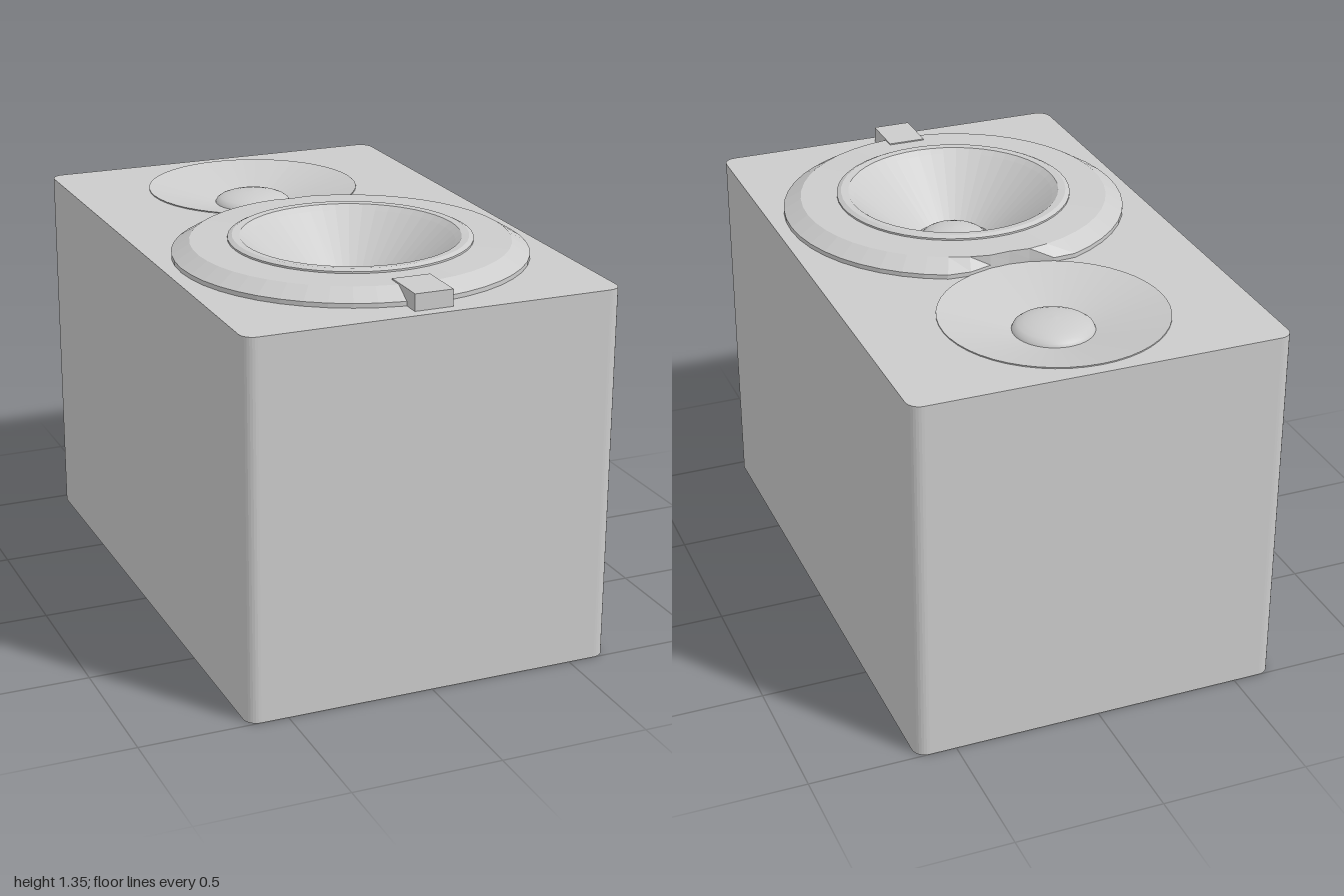
import * as THREE from 'three';

const SEG = 48, W = 0.637, TOP = 1.28;
const WOOFER = { z: 0.315, hole: 0.35 }, TWEETER = { z: -0.58, r: 0.375 };

const material = new THREE.MeshStandardMaterial({ color: 0xcccccc, flatShading: true });
const smooth = new THREE.MeshStandardMaterial({ color: 0xcccccc });

function add(group, name, geometry, mat = material) {
  const mesh = new THREE.Mesh(geometry, mat);
  mesh.name = name;
  group.add(mesh);
  return mesh;
}

const lathe = (points) =>
  new THREE.LatheGeometry(points.map(([r, y]) => new THREE.Vector2(r, y)), SEG);

// Shallow dome running from its rim to the axis
function dome(r, y, h) {
  const points = [];
  for (let i = 0; i <= 6; i++) {
    const a = (i / 6) * Math.PI / 2;
    points.push([r * Math.cos(a), y + h * Math.sin(a)]);
  }
  return lathe(points);
}

// Rounded rectangle, shape y = -z
function outline() {
  const r = 0.045, s = new THREE.Shape();
  s.absarc(W - r, 1 - r, r, 0, Math.PI / 2);
  s.absarc(-W + r, 1 - r, r, Math.PI / 2, Math.PI);
  s.absarc(-W + r, -1 + r, r, Math.PI, Math.PI * 1.5);
  s.absarc(W - r, -1 + r, r, Math.PI * 1.5, Math.PI * 2);
  return s.getPoints(4);
}

// Vertical wall around the outline
function wall(points) {
  const pos = [], index = [], n = points.length;
  points.forEach((p) => pos.push(p.x, 0, -p.y, p.x, TOP, -p.y));
  for (let i = 0; i < n; i++) {
    const a = 2 * i, b = 2 * ((i + 1) % n);
    index.push(a, b, a + 1, b, b + 1, a + 1);
  }
  const g = new THREE.BufferGeometry();
  g.setAttribute('position', new THREE.Float32BufferAttribute(pos, 3));
  g.setIndex(index);
  g.computeVertexNormals();
  return g;
}

// Pull ring vertices inside the tweeter's circle back to that circle
function clearTweeter(geometry) {
  const p = geometry.attributes.position;
  const d = TWEETER.z - WOOFER.z;
  for (let i = 0; i < p.count; i++) {
    const x = p.getX(i), z = p.getZ(i), r = Math.hypot(x, z);
    if (Math.hypot(x, z - d) >= TWEETER.r) continue;
    const along = (z / r) * d;
    const t = along - Math.sqrt(along * along - d * d + TWEETER.r ** 2);
    p.setXYZ(i, (x / r) * t, p.getY(i), (z / r) * t);
  }
  geometry.computeVertexNormals();
  return geometry;
}

export function createModel() {
  const model = new THREE.Group();
  model.name = 'loudspeaker';

  // Cabinet: walls, base and baffle with two openings
  const cabinet = new THREE.Group();
  cabinet.name = 'cabinet';
  model.add(cabinet);
  const points = outline();
  add(cabinet, 'cabinetWalls', wall(points));
  add(cabinet, 'cabinetBase', new THREE.ShapeGeometry(new THREE.Shape(points)).rotateX(-Math.PI / 2).scale(1, -1, 1),
    new THREE.MeshStandardMaterial({ color: 0xcccccc, side: THREE.DoubleSide }));
  const baffle = new THREE.Shape(points);
  for (const [z, r] of [[WOOFER.z, WOOFER.hole], [TWEETER.z, TWEETER.r]]) {
    baffle.holes.push(new THREE.Path().absarc(0, -z, r, 0, Math.PI * 2, true));
  }
  add(cabinet, 'baffle', new THREE.ShapeGeometry(baffle, SEG / 2).rotateX(-Math.PI / 2).translate(0, TOP, 0));

  // Woofer: bevelled ring, raised surround, deep cone and dust cap
  const woofer = new THREE.Group();
  woofer.name = 'woofer';
  woofer.position.z = WOOFER.z;
  model.add(woofer);
  add(woofer, 'wooferRing', clearTweeter(lathe([[0.59, TOP], [0.59, 1.295], [0.53, 1.331], [0.4, 1.333]])));
  add(woofer, 'wooferSurround', lathe([[0.405, 1.33], [0.405, 1.339], [0.39, 1.346], [0.365, 1.344], [0.345, 1.328]]));
  add(woofer, 'wooferCone', lathe([[0.345, 1.328], [0.138, 1.15], [0.138, 1.12], [0.12, 1.12], [0.12, 1.15]]));
  add(woofer, 'wooferDustCap', dome(0.12, 1.15, 0.05), smooth);

  // Tweeter: shallow cone and cap
  const tweeter = new THREE.Group();
  tweeter.name = 'tweeter';
  tweeter.position.z = TWEETER.z;
  model.add(tweeter);
  add(tweeter, 'tweeterCone', lathe([[TWEETER.r, TOP], [TWEETER.r, 1.284], [0.135, 1.225]]));
  add(tweeter, 'tweeterCap', dome(0.135, 1.225, 0.04), smooth);

  // Tab at the edge of the woofer ring
  add(model, 'ringTab', new THREE.BoxGeometry(0.13, 0.056, 0.17)).position.set(0, TOP + 0.028, 0.875);

  return model;
}
